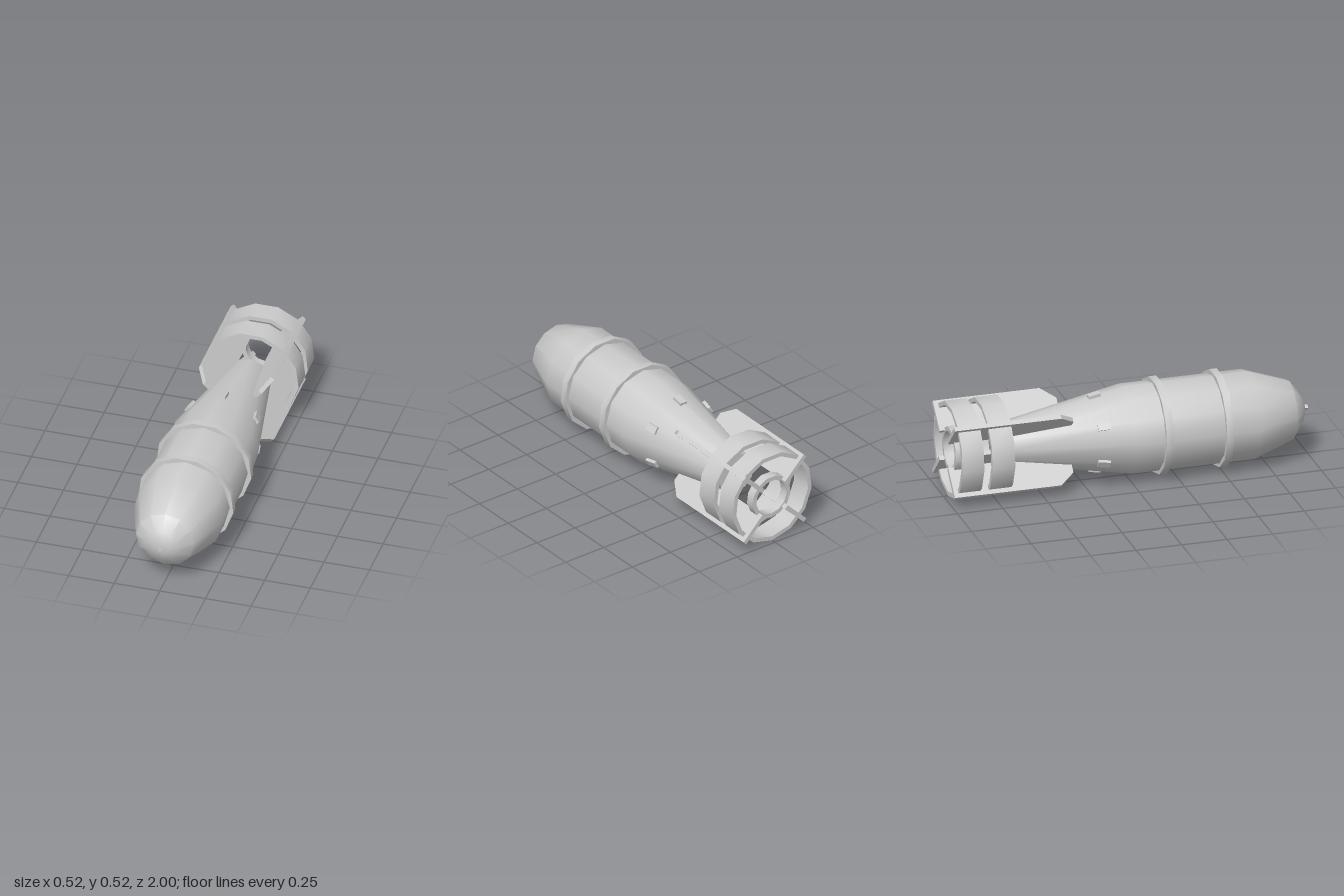
import * as THREE from 'three';
import { toCreasedNormals } from 'three/addons/utils/BufferGeometryUtils.js';

const AXIS_Y = 0.262;
const CREASE = 0.7;

export function createModel() {
  const model = new THREE.Group();
  model.name = 'finnedBomb';
  const material = new THREE.MeshStandardMaterial({ color: 0xcccccc });

  // everything hangs on one long axis running along z
  const axis = new THREE.Group();
  axis.name = 'assembly';
  axis.position.y = AXIS_Y;
  model.add(axis);

  const add = (name, geometry, parent = axis) => {
    const mesh = new THREE.Mesh(geometry, material);
    mesh.name = name;
    parent.add(mesh);
    return mesh;
  };

  // lathe around z from [radius, z] pairs, first vertex pointing down
  const turned = (profile, sides) => {
    const points = profile.map(([r, z]) => new THREE.Vector2(r, z));
    return toCreasedNormals(new THREE.LatheGeometry(points, sides).rotateX(Math.PI / 2), CREASE);
  };
  const hoop = (inner, outer, z0, z1, sides) =>
    turned([[inner, z0], [outer, z0], [outer, z1], [inner, z1], [inner, z0]], sides);

  // hull: tapered tail, straight middle, rounded nose
  add('body', turned([
    [0, -0.665], [0.115, -0.665], [0.241, 0], [0.241, 0.67],
    [0.16, 0.9], [0.085, 0.957], [0.04, 0.976], [0, 0.976],
  ], 12));

  // square pin on the nose
  const pin = new THREE.CylinderGeometry(0.014, 0.014, 0.04, 4).rotateX(Math.PI / 2);
  add('nosePin', toCreasedNormals(pin, CREASE)).position.z = 0.98;

  // bands around the hull
  for (const z of [0.5, 0.168]) add('bodyBand', hoop(0.225, 0.262, z - 0.02, z + 0.02, 13));

  // shroud rings around the fins, and the small ring between their inner edges
  add('frontTailRing', hoop(0.238, 0.262, -0.81, -0.685, 13));
  add('rearTailRing', hoop(0.238, 0.262, -0.975, -0.855, 13));
  add('innerTailRing', hoop(0.1, 0.125, -0.97, -0.92, 13));

  // four diagonal fins with chamfered front corners, drawn as [radius, z]
  const finShape = new THREE.Shape([
    [0.106, -1], [0.28, -1], [0.28, -0.415], [0.215, -0.335], [0.155, -0.335], [0.106, -0.665],
  ].map(([r, z]) => new THREE.Vector2(r, z)));
  const thickness = 0.024;
  const finGeometry = new THREE.ExtrudeGeometry(finShape, { depth: thickness, bevelEnabled: false })
    .translate(0, 0, -thickness / 2)
    .rotateX(Math.PI / 2);
  for (let i = 0; i < 4; i++) {
    add('tailFin', finGeometry).rotation.z = Math.PI / 4 + (i * Math.PI) / 2;
  }

  // six small lugs lying on the tail taper
  const lugGeometry = new THREE.BoxGeometry(0.04, 0.03, 0.066);
  for (let i = 0; i < 6; i++) {
    const arm = new THREE.Group();
    arm.name = 'lugMount';
    arm.rotation.z = (i * Math.PI) / 3;
    axis.add(arm);
    const lug = add('lug', lugGeometry, arm);
    lug.position.set(0, 0.205, -0.172);
    lug.rotation.x = -Math.atan2(0.126, 0.665);
  }

  return model;
}
